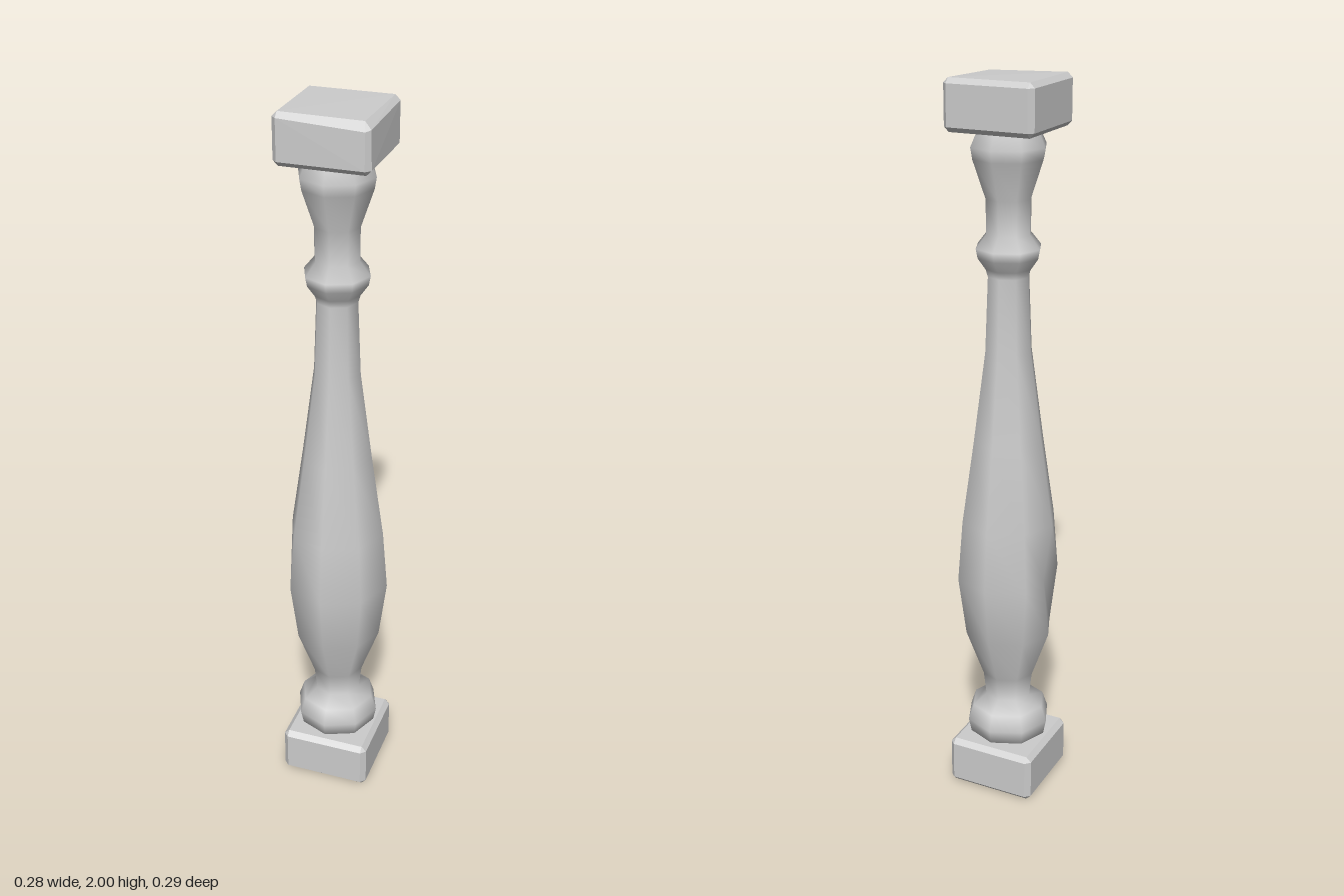
import * as THREE from 'three';
import { mergeVertices } from 'three/addons/utils/BufferGeometryUtils.js';
import { ConvexGeometry } from 'three/addons/geometries/ConvexGeometry.js';

const AXIS_X = -0.008;

// Square block with chamfered edges; chip replaces the three points of the +x +y +z corner.
function chamferedBlock(half, yMin, yMax, bevel, chip) {
  const points = [];
  const cy = (yMin + yMax) / 2;
  const hy = (yMax - yMin) / 2;
  for (const sx of [-1, 1]) for (const sy of [-1, 1]) for (const sz of [-1, 1]) {
    if (chip && sx + sy + sz === 3) {
      chip.forEach((p) => points.push(new THREE.Vector3(...p)));
      continue;
    }
    for (let axis = 0; axis < 3; axis++) {
      const inset = [bevel, bevel, bevel];
      inset[axis] = 0;
      points.push(new THREE.Vector3(
        sx * (half - inset[0]),
        cy + sy * (hy - inset[1]),
        sz * (half - inset[2])
      ));
    }
  }
  return new ConvexGeometry(points);
}

// Eight-sided turned shaft with smooth shading and one dent in the belly.
function turnedShaft() {
  const profile = [
    [0.08, 0.12], [0.085, 0.145], [0.112, 0.155], [0.12, 0.195], [0.105, 0.24],
    [0.066, 0.27], [0.074, 0.34], [0.124, 0.48], [0.146, 0.65], [0.132, 0.82],
    [0.098, 1.05], [0.064, 1.3], [0.056, 1.5], [0.062, 1.52], [0.083, 1.55],
    [0.088, 1.575], [0.06, 1.61], [0.061, 1.7], [0.095, 1.8], [0.1, 1.83],
    [0.084, 1.865], [0.08, 1.89],
  ].map(([r, y]) => new THREE.Vector2(r, y));

  let geometry = new THREE.LatheGeometry(profile, 8);
  geometry.deleteAttribute('uv');
  geometry.deleteAttribute('normal');
  geometry = mergeVertices(geometry, 1e-4);

  const pos = geometry.attributes.position;
  for (let i = 0; i < pos.count; i++) {
    if (pos.getX(i) < -0.14 && Math.abs(pos.getY(i) - 0.65) < 0.01) pos.setX(i, -0.108);
  }
  geometry.computeVertexNormals();
  return geometry;
}

export function createModel() {
  const group = new THREE.Group();
  group.name = 'baluster';
  const stone = new THREE.MeshStandardMaterial({ color: 0xcccccc });
  stone.name = 'pale grey stone';

  const add = (name, geometry) => {
    const mesh = new THREE.Mesh(geometry, stone);
    mesh.name = name;
    mesh.position.x = AXIS_X;
    group.add(mesh);
  };

  add('baseBlock', chamferedBlock(0.127, 0, 0.14, 0.014));
  add('turnedShaft', turnedShaft());
  // Cap with its front left top corner worn away
  add('capBlock', chamferedBlock(0.122, 1.87, 2, 0.013, [
    [0.102, 1.995, 0.1], [0.12, 1.978, 0.108], [0.109, 1.975, 0.12],
  ]));
  return group;
}
